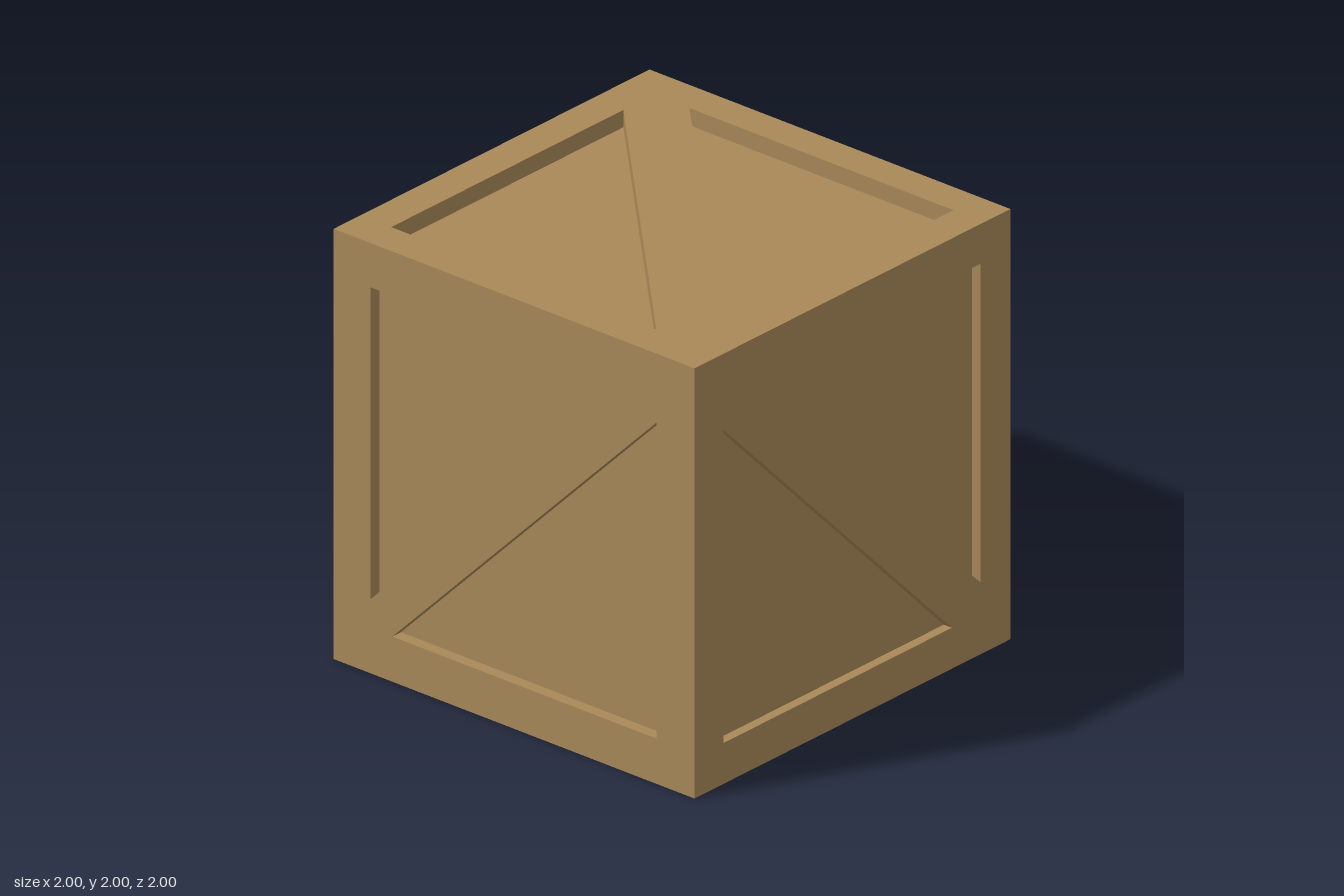
import * as THREE from 'three';
import { mergeGeometries } from 'three/addons/utils/BufferGeometryUtils.js';

const HALF = 1;
const H = Math.PI / 2;

// Each side: rotation, recess depth and two triangles [u, v, ...] in the plane of the face
const SIDES = [
  { name: 'frontSide', rot: [0, 0, 0], depth: 0.055, tris: [
    [-0.795, 0.795, -0.795, -0.655, 0.65, 0.795],
    [0.79, 0.68, -0.675, -0.79, 0.79, -0.79]] },
  { name: 'backSide', rot: [0, 2 * H, 0], depth: 0.06, tris: [
    [-0.825, 0.82, -0.825, -0.675, 0.7, 0.82],
    [0.825, 0.645, -0.7, -0.825, 0.825, -0.825]] },
  { name: 'leftSide', rot: [0, H, 0], depth: 0.045, tris: [
    [-0.815, 0.645, -0.815, -0.81, 0.63, -0.81],
    [-0.695, 0.815, 0.81, -0.665, 0.81, 0.815]] },
  { name: 'rightSide', rot: [0, -H, 0], depth: 0.08, tris: [
    [-0.79, 0.66, -0.79, -0.79, 0.625, -0.79],
    [-0.64, 0.8, 0.805, -0.655, 0.805, 0.8]] },
  { name: 'topSide', rot: [-H, 0, 0], depth: 0.08, tris: [
    [-0.83, 0.64, -0.83, -0.83, 0.64, -0.83],
    [-0.635, 0.835, 0.83, -0.615, 0.83, 0.835]] },
  { name: 'bottomSide', rot: [H, 0, 0], depth: 0.065, tris: [
    [0.82, -0.645, 0.82, 0.82, -0.62, 0.82],
    [0.606, -0.825, -0.815, 0.627, -0.815, -0.825]] },
];

// Corner points of a triangle, always counter-clockwise
function corners([a, b, c, d, e, f]) {
  const pts = [new THREE.Vector2(a, b), new THREE.Vector2(c, d), new THREE.Vector2(e, f)];
  return THREE.ShapeUtils.isClockWise(pts) ? pts.reverse() : pts;
}

// Inward-facing walls around a recess
function recessWalls(pts, depth) {
  const pos = [];
  pts.forEach((p, i) => {
    const q = pts[(i + 1) % pts.length];
    pos.push(p.x, p.y, 0, q.x, q.y, 0, q.x, q.y, -depth);
    pos.push(p.x, p.y, 0, q.x, q.y, -depth, p.x, p.y, -depth);
  });
  const g = new THREE.BufferGeometry();
  g.setAttribute('position', new THREE.Float32BufferAttribute(pos, 3));
  g.computeVertexNormals();
  return g;
}

export function createModel() {
  const wood = new THREE.MeshStandardMaterial({ color: 0xa88858 });
  const crate = new THREE.Group();
  crate.name = 'crate';

  for (const { name, rot, depth, tris } of SIDES) {
    const side = new THREE.Group();
    side.name = name;
    const triangles = tris.map(corners);

    // Border and diagonal brace, cut by the two triangles
    const outline = new THREE.Shape([[-1, -1], [1, -1], [1, 1], [-1, 1]]
      .map(([x, y]) => new THREE.Vector2(x * HALF, y * HALF)));
    outline.holes = triangles.map((t) => new THREE.Path([...t, t[0]]));
    const frame = new THREE.Mesh(new THREE.ShapeGeometry(outline), wood);
    frame.name = 'frameWithBrace';

    // Recess walls
    const walls = new THREE.Mesh(mergeGeometries(triangles.map((t) => recessWalls(t, depth))), wood);
    walls.name = 'recessWalls';

    // Sunken panels
    const panels = new THREE.Mesh(new THREE.ShapeGeometry(triangles.map((t) => new THREE.Shape(t))), wood);
    panels.name = 'sunkenPanels';
    panels.position.z = -depth;

    for (const part of [frame, walls, panels]) {
      part.position.z += HALF;
      side.add(part);
    }
    side.rotation.set(...rot);
    side.position.y = HALF;
    crate.add(side);
  }
  return crate;
}
